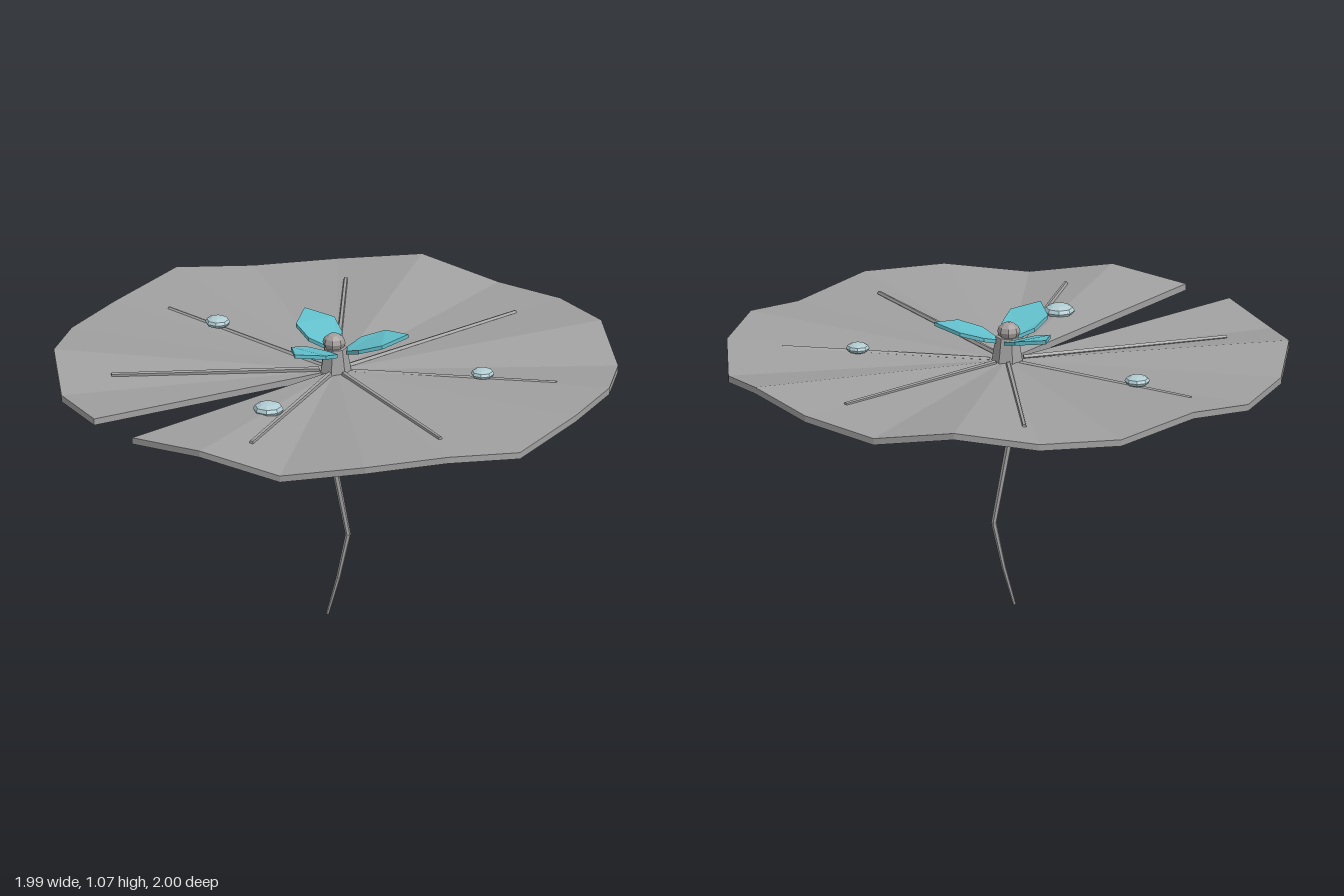
import * as THREE from 'three';

const mat = (name, color, side = THREE.FrontSide) => {
  const m = new THREE.MeshStandardMaterial({ color, flatShading: true, side });
  m.name = name;
  return m;
};
const rad = THREE.MathUtils.degToRad;
const V = (x, y, z) => new THREE.Vector3(x, y, z);

// Leaf pad: a wavy fan of 20 wedges with a notch towards -x
const SEG = 20, EDGE = 173.7, STEP = (2 * EDGE) / SEG, MID = 0.922, THICK = 0.024;
const rimY = n => 0.947 + 0.03 * Math.sin((7 * 2 * Math.PI * n) / SEG);

function surfaceY(deg, r) {
  const n = (EDGE - deg) / STEP, i = Math.floor(n);
  const rim = THREE.MathUtils.lerp(rimY(i), rimY(i + 1), n - i);
  return THREE.MathUtils.lerp(MID, rim, r);
}

function leafGeometry() {
  const loop = [V(0, MID, 0)];
  for (let n = 0; n <= SEG; n++) {
    const a = rad(EDGE - n * STEP);
    loop.push(V(Math.cos(a), rimY(n), Math.sin(a)));
  }
  const low = loop.map(p => V(p.x, p.y - THICK, p.z));
  const tris = [];
  for (let i = 1; i <= SEG; i++) {
    tris.push(loop[0], loop[i], loop[i + 1], low[0], low[i + 1], low[i]);
  }
  // rim and notch walls
  loop.forEach((a, i) => {
    const j = (i + 1) % loop.length;
    tris.push(low[i], low[j], loop[j], low[i], loop[j], a);
  });
  const g = new THREE.BufferGeometry().setFromPoints(tris);
  g.computeVertexNormals();
  return g;
}

// Tapered rod between two points
function rod(a, b, ra, rb, sides, material) {
  const d = b.clone().sub(a);
  const mesh = new THREE.Mesh(new THREE.CylinderGeometry(rb, ra, d.length(), sides), material);
  mesh.position.copy(a).addScaledVector(d, 0.5);
  mesh.quaternion.setFromUnitVectors(V(0, 1, 0), d.normalize());
  return mesh;
}

// Petal: flat six-sided outline along +x, bent upwards
function petalGeometry() {
  const half = [[0.04, 0.022], [0.085, 0.066], [0.17, 0.075], [0.257, 0]];
  const heights = [[0.04, 1.005], [0.085, 1.025], [0.17, 1.05], [0.257, 1.066]];
  const outline = [...half, ...half.slice(0, 3).reverse().map(([r, w]) => [r, -w])];
  const shape = new THREE.Shape(outline.map(([r, w]) => new THREE.Vector2(r, w)));
  const g = new THREE.ExtrudeGeometry(shape, { depth: 0.014, bevelEnabled: false });
  g.rotateX(-Math.PI / 2);
  const p = g.attributes.position;
  for (let i = 0; i < p.count; i++) {
    const h = heights.find(([r]) => Math.abs(r - p.getX(i)) < 0.001);
    p.setY(i, p.getY(i) + h[1] - 0.014);
  }
  g.computeVertexNormals();
  return g;
}

export function createModel() {
  const model = new THREE.Group();
  const gray = mat('leaf gray', 0xa0a0a0);
  const warm = mat('bud gray', 0xa39d9c);
  const teal = mat('petal teal', 0x62c0cc, THREE.DoubleSide);
  const water = mat('dew blue', 0xb0ccd2);
  const add = (name, obj, parent = model) => {
    obj.name = name;
    parent.add(obj);
    return obj;
  };

  add('leafPad', new THREE.Mesh(leafGeometry(), gray));

  // Veins: angle from +x towards +z, and lift above the leaf
  const veins = add('veins', new THREE.Group());
  [[0, 0.001], [50, -0.003], [100, 0.004], [149.5, 0.004],
    [-50, 0.003], [-100, -0.003], [-149.5, 0.004]].forEach(([deg, lift]) => {
    const c = Math.cos(rad(deg)), s = Math.sin(rad(deg));
    const at = r => V(c * r, surfaceY(deg, r) + lift, s * r);
    add('vein', rod(at(0.06), at(0.8), 0.01, 0.008, 5, gray), veins);
  });

  // Crooked stem, thicker towards the leaf
  const stem = add('stem', new THREE.Group());
  const path = [[-0.04, 0, 0.003, 0.006], [-0.011, 0.14, 0.028, 0.008], [0.016, 0.305, 0.05, 0.01],
    [-0.032, 0.61, 0.02, 0.012], [-0.004, 0.91, 0, 0.014]];
  for (let i = 0; i < path.length - 1; i++) {
    const [a, b] = [path[i], path[i + 1]];
    add('stemSegment', rod(V(a[0], a[1], a[2]), V(b[0], b[1], b[2]), a[3], b[3], 6, gray), stem);
  }

  // Flower: base, bud and three petals
  const flower = add('flower', new THREE.Group());
  add('flowerBase', rod(V(-0.003, 0.893, 0), V(-0.003, 1.01, 0), 0.062, 0.042, 7, gray), flower);
  const bud = add('bud', new THREE.Mesh(new THREE.SphereGeometry(0.041, 8, 6), warm), flower);
  bud.position.set(-0.006, 1.029, -0.003);
  bud.scale.y = 0.8;
  const petal = petalGeometry();
  for (const deg of [42, 162, -78]) {
    add('petal', new THREE.Mesh(petal, teal), flower).rotation.y = -rad(deg);
  }

  // Dew drops
  for (const [x, z, r] of [[-0.455, 0.2, 0.055], [0.347, 0.4, 0.042], [-0.103, -0.553, 0.045]]) {
    const drop = add('dewDrop', new THREE.Mesh(new THREE.SphereGeometry(r, 8, 6), water));
    drop.position.set(x, 0.952, z);
    drop.scale.y = 0.45;
  }
  return model;
}
